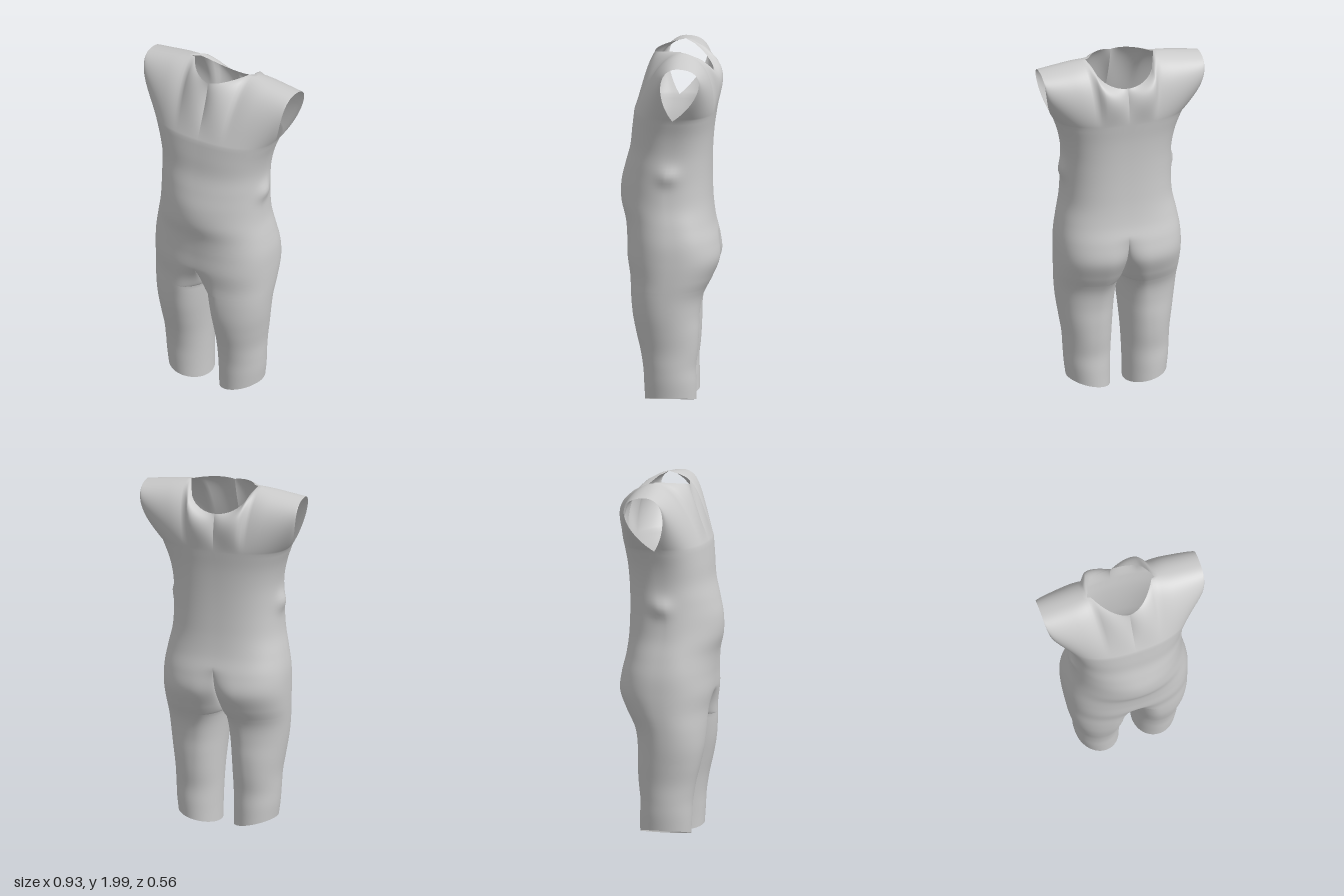
import * as THREE from 'three';
import { mergeVertices } from 'three/addons/utils/BufferGeometryUtils.js';

const V = (x, y, z) => new THREE.Vector3(x, y, z);
const { clamp, lerp, smoothstep } = THREE.MathUtils;
const CROTCH = 0.66, ARMPIT = 1.64, SEG = 72, NECK = 0.45;

// Body profile at even heights from hem to armpit: half width, front z, back z
const profile = new THREE.CatmullRomCurve3([
  [0.285, 0.135, -0.15], [0.295, 0.14, -0.15], [0.3, 0.145, -0.147], [0.305, 0.16, -0.157],
  [0.32, 0.184, -0.163], [0.335, 0.205, -0.166], [0.345, 0.216, -0.185], [0.352, 0.222, -0.238],
  [0.355, 0.238, -0.28], [0.352, 0.241, -0.272], [0.336, 0.25, -0.248], [0.316, 0.275, -0.235],
  [0.309, 0.275, -0.23], [0.306, 0.252, -0.229], [0.309, 0.225, -0.232], [0.33, 0.214, -0.24],
  [0.367, 0.202, -0.255],
].map((p) => V(...p)), false, 'catmullrom', 0.5);

// Even spread across the half width, denser at both ends
const spread = (q) => (1 - Math.cos(Math.PI * q)) / 2;

// Point on the half outline at height y; t runs front, outer side, back.
// Each leg is a closed ring that opens into half of the torso above the crotch.
function ring(y, t) {
  const { x: w, y: zf, z: zb } = profile.getPoint(clamp(y / ARMPIT, 0, 1));
  const isFront = t < 0.5, zc = (zf + zb) / 2, rz = (zf - zb) / 2;
  const inner = 0.042 * Math.max(0, 1 - (y / CROTCH) ** 2);
  let x = lerp(inner, w, spread(isFront ? 2 * t : 2 - 2 * t));

  // Rounding towards the outer side, squarer on the torso than on the legs
  const up = smoothstep(y, 0.3, 1.0);
  const belly = isFront ? 0.6 * Math.exp(-(((y - 1.2) / 0.2) ** 2)) : 0;
  const n = 2 + 0.5 * up - belly;
  const c = (inner + w) / 2 * (1 - up);
  const outer = Math.max(0, 1 - clamp((x - c) / (w - c), 0, 1) ** n) ** (1 / n);

  // Rounding towards the inner side, fading out above the crotch
  const r = Math.min(0.125, (w - inner) / 2);
  const leg = Math.sqrt(Math.max(0, 1 - (1 - clamp((x - inner) / r, 0, 1)) ** 2));
  const open = isFront ? clamp((y - CROTCH) / 0.16, 0, 1) ** 0.4 : clamp((y - CROTCH) / 0.3, 0, 1) ** 0.45;
  const z = zc + (isFront ? 1 : -1) * rz * outer * lerp(leg, 1, open);

  // Slanted hem, and a small fold at each side of the waist
  const hem = 0.055 * clamp((x - 0.04) / 0.24, 0, 1) * clamp(1 - y / 0.25, 0, 1);
  x += 0.024 * Math.exp(-(((y - 1.31) / 0.05) ** 2) - (z / 0.06) ** 2);
  return V(x, y + hem, z);
}

// Point on a chest (side 1) or upper back (side -1) panel:
// u runs from the centre line to the armhole, v from the armpit to neck and shoulder
function panel(side, u, v) {
  const isFront = side > 0, f = spread(u), fNeck = spread(NECK);
  const start = ring(ARMPIT, isFront ? u / 2 : 1 - u / 2);
  const end = V(0, 0, 0);
  if (u <= NECK) {
    const s = f / fNeck, c = Math.sqrt(Math.max(0, 1 - s * s));
    if (isFront) end.set(0.18 * s, 1.96 + 0.035 * s, -0.07 + 0.16 * c ** 1.9);
    else end.set(0.18 * s, 1.995 - 0.135 * c, -0.07 - 0.165 * c ** 0.7);
  } else {
    const s = (f - fNeck) / (1 - fNeck);
    end.set(lerp(0.18, 0.465, s), 1.995 - 0.04 * s, -0.07);
  }
  // Tangents at the armpit level and at the neck or shoulder
  const m0 = (isFront ? V(0, 0.33, -0.12) : V(0, 0.25, -0.04))
    .lerp(isFront ? V(0.22, 0.35, 0.25) : V(0.3, 0.35, -0.45), u ** 4);
  const m1 = (isFront ? V(0, 0.32, -0.05) : V(0, 0.2, 0.06))
    .lerp(isFront ? V(0, -0.03, -0.43) : V(0, 0.03, 0.56), smoothstep(u, 0, 0.6));
  const v2 = v * v, v3 = v2 * v;
  return start.multiplyScalar(2 * v3 - 3 * v2 + 1).addScaledVector(m0, v3 - 2 * v2 + v)
    .addScaledVector(end, 3 * v2 - 2 * v3).addScaledVector(m1, v3 - v2);
}

// Adds a grid of quads and its mirror image
function addGrid(out, cols, rows, point, flip) {
  const grid = Array.from({ length: rows + 1 }, (_, j) =>
    Array.from({ length: cols + 1 }, (_, i) => point(i, j)));
  const tri = (a, b, c) => {
    for (const p of flip ? [a, c, b] : [a, b, c]) out.push(p.x, p.y, p.z);
    for (const p of flip ? [a, b, c] : [a, c, b]) out.push(-p.x, p.y, p.z);
  };
  for (let j = 0; j < rows; j++) {
    for (let i = 0; i < cols; i++) {
      const a = grid[j][i], b = grid[j][i + 1], c = grid[j + 1][i + 1], d = grid[j + 1][i];
      tri(a, b, c);
      tri(a, c, d);
    }
  }
}

export function createModel() {
  const out = [];
  // Legs
  addGrid(out, SEG, 28, (i, j) => ring(CROTCH * j / 28, i / SEG));
  // Hips, belly and waist, with rows packed closer at the crotch
  addGrid(out, SEG, 64, (i, j) => ring(CROTCH + (ARMPIT - CROTCH) * (j / 64) ** 1.5, i / SEG));
  // Chest and upper back, meeting along the shoulders
  for (const side of [1, -1]) {
    addGrid(out, SEG / 2, 28, (i, j) => panel(side, i / (SEG / 2), j / 28), side < 0);
  }
  let geometry = new THREE.BufferGeometry();
  geometry.setAttribute('position', new THREE.Float32BufferAttribute(out, 3));
  geometry = mergeVertices(geometry, 1e-5);
  geometry.computeVertexNormals();

  const bodysuit = new THREE.Mesh(geometry,
    new THREE.MeshStandardMaterial({ color: 0xcccccc, side: THREE.DoubleSide }));
  bodysuit.name = 'bodysuit';
  const group = new THREE.Group();
  group.name = 'torsoShell';
  group.add(bodysuit);
  return group;
}
